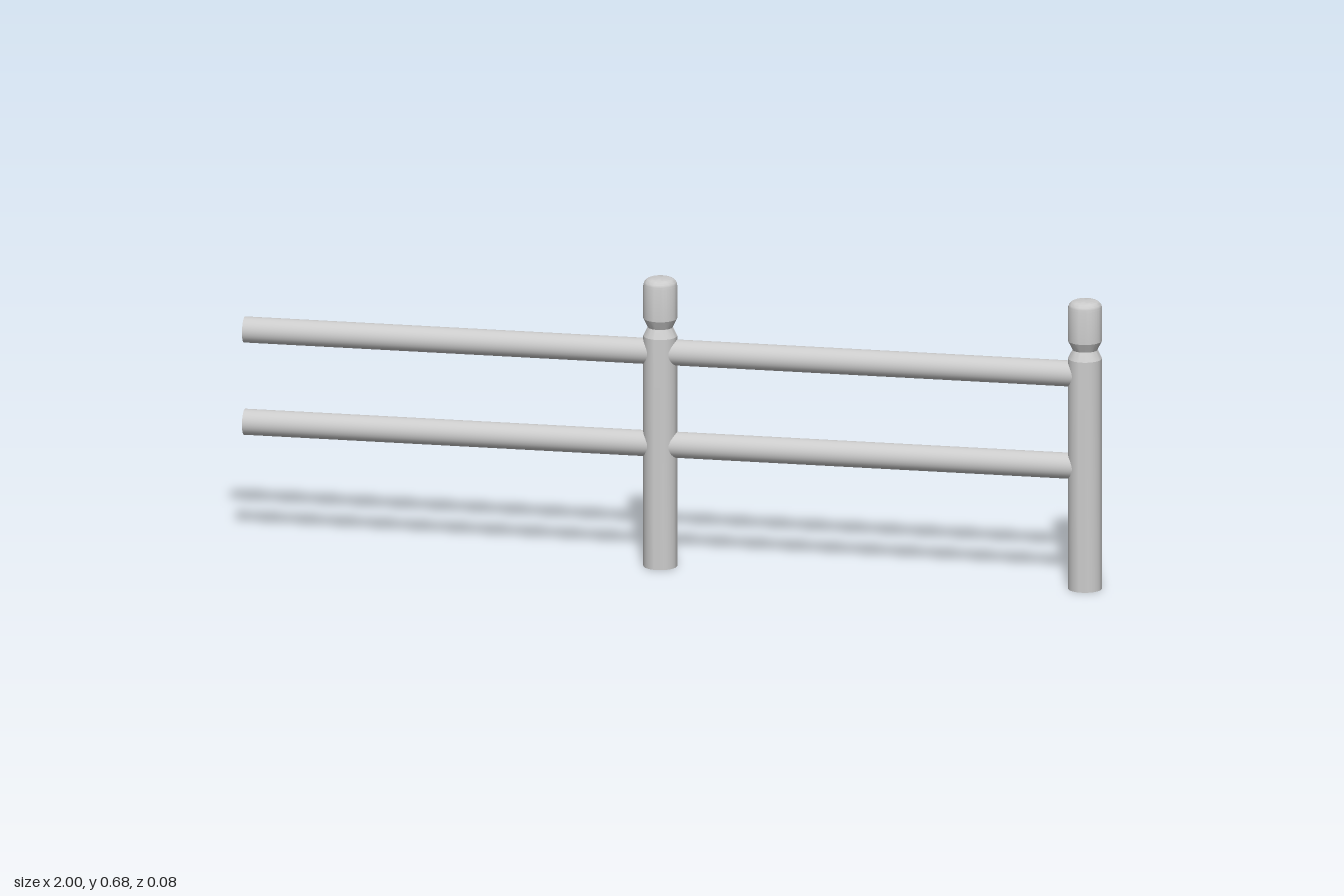
import * as THREE from 'three';
import { toCreasedNormals } from 'three/addons/utils/BufferGeometryUtils.js';

const POST_RADIUS = 0.039;
const POST_HEIGHT = 0.683;
const RAIL_RADIUS = 0.03;

// Turned post: straight shaft, V-shaped groove, head with a rounded rim
function postGeometry() {
  const points = [
    [0, 0], [POST_RADIUS, 0], [POST_RADIUS, 0.546],
    [0.0285, 0.567], [POST_RADIUS, 0.588],
  ].map(([r, y]) => new THREE.Vector2(r, y));
  const rim = 0.018;
  const steps = 6;
  for (let i = 0; i <= steps; i++) {
    const a = (i / steps) * Math.PI / 2;
    points.push(new THREE.Vector2(
      POST_RADIUS - rim + rim * Math.cos(a),
      POST_HEIGHT - rim + rim * Math.sin(a)));
  }
  points.push(new THREE.Vector2(0, POST_HEIGHT));
  return toCreasedNormals(new THREE.LatheGeometry(points, 32), 0.42);
}

export function createModel() {
  const model = new THREE.Group();
  model.name = 'railFence';
  const material = new THREE.MeshStandardMaterial({ color: 0xcccccc });

  // Posts in the middle and at the left end
  const middleX = -0.03;
  const endX = 1 - POST_RADIUS;
  const post = postGeometry();
  for (const [name, x] of [['middlePost', middleX], ['endPost', endX]]) {
    const mesh = new THREE.Mesh(post, material);
    mesh.name = name;
    mesh.position.x = x;
    model.add(mesh);
  }

  // Two round rails per bay, their ends let into the posts
  const bays = [['right', -1, middleX], ['left', middleX, endX]];
  const heights = [['Upper', 0.508], ['Lower', 0.289]];
  for (const [side, x0, x1] of bays) {
    const geometry = new THREE.CylinderGeometry(RAIL_RADIUS, RAIL_RADIUS, x1 - x0, 32);
    geometry.rotateZ(Math.PI / 2);
    for (const [level, y] of heights) {
      const rail = new THREE.Mesh(geometry, material);
      rail.name = `${side}${level}Rail`;
      rail.position.set((x0 + x1) / 2, y, 0);
      model.add(rail);
    }
  }
  return model;
}
